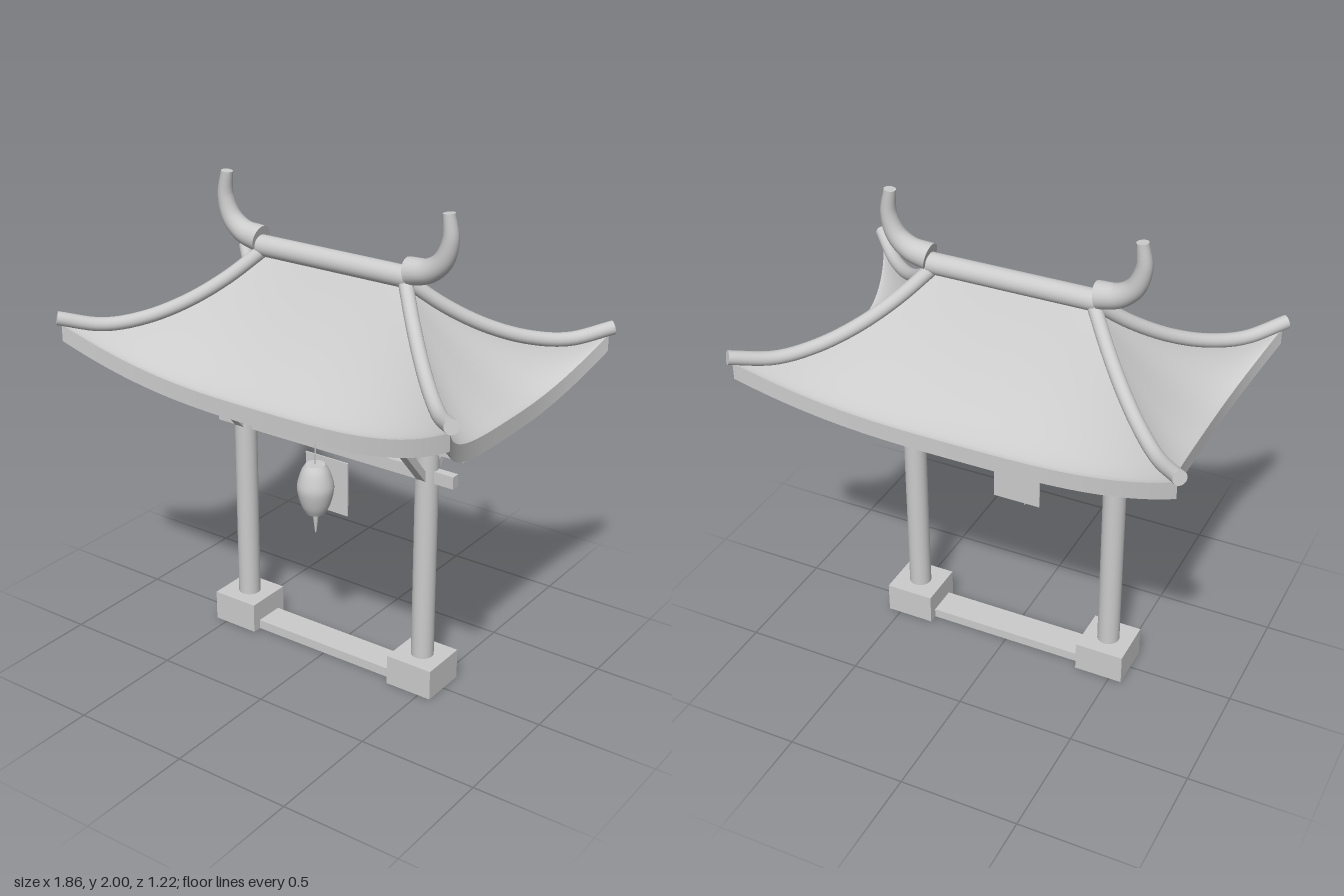
import * as THREE from 'three';
import { ParametricGeometry } from 'three/addons/geometries/ParametricGeometry.js';

const material = new THREE.MeshStandardMaterial({ color: 0xcccccc });
const V = (x, y, z) => new THREE.Vector3(x, y, z);

function add(parent, name, geometry, x = 0, y = 0, z = 0) {
  const mesh = new THREE.Mesh(geometry, material);
  mesh.name = name;
  mesh.position.set(x, y, z);
  parent.add(mesh);
  return mesh;
}

const box = (parent, name, w, h, d, x, y, z) =>
  add(parent, name, new THREE.BoxGeometry(w, h, d), x, y, z);

// Round bar along a curve, tapering from r0 to r1, with flat end caps
function taperedBar(parent, name, points, r0, r1) {
  const group = new THREE.Group();
  group.name = name;
  const curve = new THREE.CatmullRomCurve3(points);
  const steps = 28, sides = 20;
  const geometry = new THREE.TubeGeometry(curve, steps, r0, sides);
  const pos = geometry.attributes.position;
  const p = V(0, 0, 0);
  for (let i = 0; i <= steps; i++) {
    const centre = curve.getPointAt(i / steps);
    const k = 1 + (r1 / r0 - 1) * (i / steps);
    for (let j = 0; j <= sides; j++) {
      const n = i * (sides + 1) + j;
      p.fromBufferAttribute(pos, n).sub(centre).multiplyScalar(k).add(centre);
      pos.setXYZ(n, p.x, p.y, p.z);
    }
  }
  add(group, name + 'Body', geometry);
  for (const [t, r, dir] of [[0, r0, -1], [1, r1, 1]]) {
    const c = curve.getPointAt(t);
    const cap = add(group, name + 'Cap', new THREE.CircleGeometry(r, sides), c.x, c.y, c.z);
    cap.quaternion.setFromUnitVectors(V(0, 0, 1), curve.getTangentAt(t).multiplyScalar(dir));
  }
  parent.add(group);
}

// Roof height: t runs from ridge to eave, s from corner to corner
const roofY = (s, t) =>
  1.69 - 0.44 * (1 - Math.pow(Math.max(0, 1 - t), 1.5)) + 0.19 * Math.abs(s) ** 3 * t * t;
const THICK = 0.07;

// One slope with its underside and eave board, facing +z before it is turned
function roofSlope(parent, name, o, turn) {
  const group = new THREE.Group();
  group.name = name;
  group.rotation.y = turn;
  const at = (s, t, drop, target) => target.set(
    s * THREE.MathUtils.lerp(o.ridgeHalf, o.eaveHalf, t),
    roofY(s, t) - drop,
    THREE.MathUtils.lerp(o.ridgeOut, o.eaveOut + o.flare * Math.abs(s) ** 3, t));
  const slope = (t) => 0.001 + 0.999 * t;
  add(group, 'roofTop', new ParametricGeometry(
    (u, v, p) => at(2 * v - 1, slope(u), 0, p), 24, 36));
  add(group, 'roofUnderside', new ParametricGeometry(
    (u, v, p) => at(2 * u - 1, slope(v), THICK, p), 36, 24));
  add(group, 'eaveBoard', new ParametricGeometry(
    (u, v, p) => at(2 * v - 1, 1, u * THICK, p), 1, 36));
  parent.add(group);
}

export function createModel() {
  const model = new THREE.Group();
  model.name = 'roofedGate';

  // Sill between the footings
  box(model, 'sill', 0.7, 0.04, 0.13, 0, 0.02, 0);

  // Posts with footings, caps and slanted struts
  for (const sx of [-1, 1]) {
    const x = 0.45 * sx;
    box(model, 'footing', 0.208, 0.13, 0.208, x, 0.065, 0);
    add(model, 'post', new THREE.CylinderGeometry(0.047, 0.047, 1.09, 28), x, 0.67, 0);
    box(model, 'postCap', 0.18, 0.06, 0.18, x, 1.24, 0);
    for (const sz of [-1, 1]) {
      const strut = box(model, 'strut', 0.04, 0.37, 0.03, x, 1.065, 0.145 * sz);
      strut.rotation.x = sz * Math.atan2(0.23, 0.26);
    }
  }

  // Tie beams and the purlins under the roof
  box(model, 'upperBeam', 1.264, 0.08, 0.06, 0, 1.088, 0);
  box(model, 'lowerBeam', 1.16, 0.052, 0.036, 0, 0.942, 0);
  for (const sz of [-1, 1]) box(model, 'purlin', 1.32, 0.05, 0.05, 0, 1.228, 0.27 * sz);

  // Hanging plate
  box(model, 'plate', 0.208, 0.235, 0.006, 0, 0.788, 0.042);

  // Lantern with cord and tassel
  const lantern = new THREE.Group();
  lantern.name = 'lantern';
  lantern.position.z = 0.12;
  const side = new THREE.SplineCurve([
    [0.04, 0.69], [0.058, 0.725], [0.073, 0.78], [0.074, 0.82], [0.058, 0.875], [0.04, 0.905],
  ].map(([r, y]) => new THREE.Vector2(r, y))).getPoints(20);
  add(lantern, 'lanternBody', new THREE.LatheGeometry(side, 28));
  for (const [y, turn] of [[0.905, -1], [0.69, 1]]) {
    add(lantern, 'lanternLid', new THREE.CircleGeometry(0.04, 28), 0, y, 0)
      .rotation.x = turn * Math.PI / 2;
  }
  add(lantern, 'cord', new THREE.CylinderGeometry(0.003, 0.003, 0.12, 8), 0, 0.962, 0);
  add(lantern, 'tassel', new THREE.CylinderGeometry(0.014, 0.003, 0.09, 12), 0, 0.645, 0);
  model.add(lantern);

  // Four sweeping roof slopes
  const long = { ridgeHalf: 0.33, eaveHalf: 0.9, ridgeOut: 0, eaveOut: 0.46, flare: 0.12 };
  const short = { ridgeHalf: 0, eaveHalf: 0.58, ridgeOut: 0.33, eaveOut: 0.79, flare: 0.11 };
  roofSlope(model, 'frontSlope', long, 0);
  roofSlope(model, 'leftSlope', short, Math.PI / 2);
  roofSlope(model, 'backSlope', long, Math.PI);
  roofSlope(model, 'rightSlope', short, -Math.PI / 2);

  // Ridge bar
  add(model, 'ridge', new THREE.CylinderGeometry(0.043, 0.043, 0.7, 28), 0, 1.72, 0)
    .rotation.z = Math.PI / 2;

  // Hip rolls and curved ridge horns
  for (const sx of [-1, 1]) {
    for (const sz of [-1, 1]) {
      const hip = [0, 0.2, 0.4, 0.6, 0.8, 1.02].map((t) =>
        V(sx * (0.33 + 0.57 * t), roofY(1, t) + 0.02, sz * 0.58 * t));
      taperedBar(model, 'hipRoll', hip, 0.028, 0.028);
    }
    const horn = [[0.35, 1.745], [0.435, 1.762], [0.495, 1.81], [0.525, 1.895], [0.515, 1.995]];
    taperedBar(model, 'ridgeHorn', horn.map(([x, y]) => V(sx * x, y, 0)), 0.055, 0.024);
  }
  return model;
}
